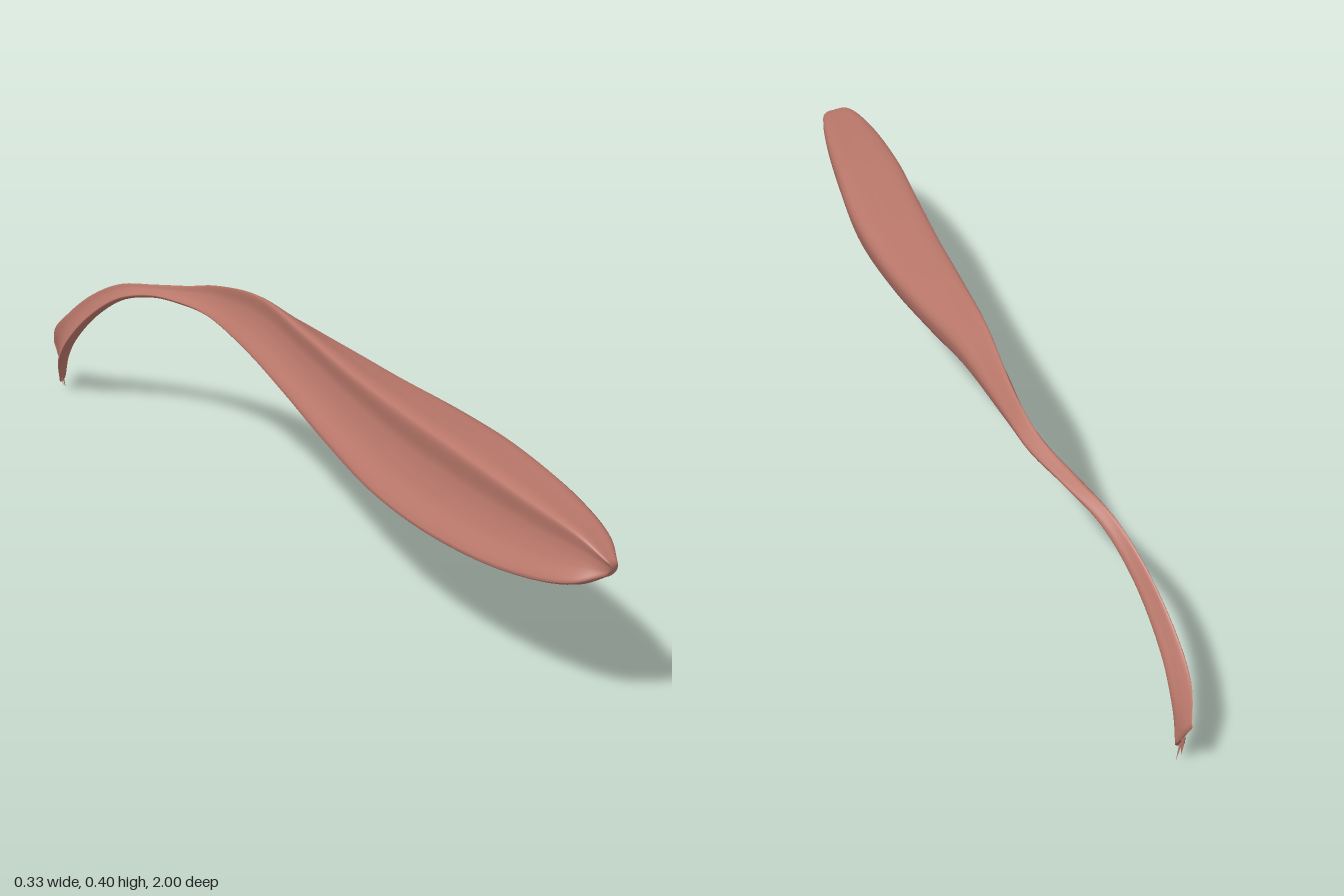
import * as THREE from 'three';

// Stations from the front tip to the tail end.
// Each has a top ridge, an outer edge and a lower lip, all [x, y, z].
const STATIONS = [
  [[0.105, 0.288, 1.0], [0.122, 0.285, 0.995], [0.105, 0.265, 0.99]],
  [[0.085, 0.315, 0.94], [0.14, 0.305, 0.94], [0.065, 0.245, 0.95]],
  [[0.06, 0.335, 0.8], [0.155, 0.325, 0.8], [0.025, 0.222, 0.82]],
  [[0.042, 0.35, 0.6], [0.162, 0.335, 0.6], [-0.008, 0.21, 0.6]],
  [[0.035, 0.356, 0.4], [0.16, 0.333, 0.4], [-0.018, 0.215, 0.4]],
  [[0.03, 0.366, 0.2], [0.14, 0.335, 0.2], [-0.016, 0.24, 0.2]],
  [[0.025, 0.385, 0], [0.108, 0.345, 0], [-0.014, 0.273, 0]],
  [[0.02, 0.4, -0.2], [0.068, 0.355, -0.2], [-0.014, 0.303, -0.2]],
  [[0.01, 0.37, -0.4], [0.032, 0.34, -0.4], [-0.015, 0.314, -0.4]],
  [[-0.01, 0.345, -0.5], [0.012, 0.328, -0.5], [-0.033, 0.313, -0.5]],
  [[-0.048, 0.325, -0.6], [-0.025, 0.316, -0.6], [-0.062, 0.307, -0.59]],
  [[-0.088, 0.305, -0.7], [-0.066, 0.292, -0.69], [-0.1, 0.281, -0.68]],
  [[-0.122, 0.256, -0.8], [-0.1, 0.238, -0.78], [-0.135, 0.222, -0.77]],
  [[-0.148, 0.185, -0.9], [-0.122, 0.162, -0.875], [-0.16, 0.143, -0.855]],
  [[-0.152, 0.145, -0.955], [-0.127, 0.11, -0.93], [-0.163, 0.085, -0.905]],
  [[-0.142, 0.1, -1.0], [-0.13, 0.06, -0.975], [-0.148, 0.025, -0.945]],
];
const ROWS = 120;
const SIDES = 48;

// Closed section: gently domed top, full outer belly, hollow inner side
function section(a, b, c) {
  const along = (p, q, t, out) => {
    const dx = q.x - p.x, dy = q.y - p.y;
    const v = p.clone().lerp(q, t);
    v.x -= dy * -out * -1;
    v.y += dx * out;
    // (-dy, dx) points outward for a clockwise ring
    return v;
  };
  return new THREE.CatmullRomCurve3([
    a, along(a, b, 0.5, 0.06), b,
    along(b, c, 0.3, 0.26), along(b, c, 0.65, 0.28), along(b, c, 0.9, 0.16),
    c, along(c, a, 0.35, -0.1), along(c, a, 0.7, -0.1),
  ], true, 'centripetal');
}

function bodyGeometry() {
  const rails = [0, 1, 2].map(k =>
    new THREE.CatmullRomCurve3(STATIONS.map(s => new THREE.Vector3(...s[k]))));
  const pos = [], index = [];
  for (let i = 0; i <= ROWS; i++) {
    const t = i / ROWS;
    const [a, b, c] = rails.map(r => r.getPoint(t));
    const ring = section(a, b, c);
    const mid = a.clone().add(b).add(c).divideScalar(3);
    for (let j = 0; j < SIDES; j++) {
      const p = ring.getPoint(j / SIDES);
      // Faint lengthwise fibres
      p.lerp(mid, 0.012 * Math.sin(j * 2.1 + Math.sin(t * 17 + j) * 1.3));
      pos.push(p.x, p.y, p.z);
    }
  }
  for (let i = 0; i < ROWS; i++) {
    for (let j = 0; j < SIDES; j++) {
      const k = (j + 1) % SIDES;
      const p = i * SIDES + j, q = i * SIDES + k;
      index.push(p, q, p + SIDES, q, q + SIDES, p + SIDES);
    }
  }
  // Close both ends
  [0, ROWS].forEach(row => {
    const centre = new THREE.Vector3();
    for (let j = 0; j < SIDES; j++) {
      centre.add(new THREE.Vector3().fromArray(pos, (row * SIDES + j) * 3));
    }
    centre.divideScalar(SIDES);
    const n = pos.length / 3;
    pos.push(centre.x, centre.y, centre.z);
    for (let j = 0; j < SIDES; j++) {
      const p = row * SIDES + j, q = row * SIDES + (j + 1) % SIDES;
      if (row === 0) index.push(n, q, p);
      else index.push(n, p, q);
    }
  });
  const g = new THREE.BufferGeometry();
  g.setAttribute('position', new THREE.Float32BufferAttribute(pos, 3));
  g.setIndex(index);
  g.computeVertexNormals();
  return g;
}

export function createModel() {
  const model = new THREE.Group();
  model.name = 'muscle';
  const flesh = new THREE.MeshStandardMaterial({ color: 0xb9776a });
  flesh.name = 'flesh';

  const body = new THREE.Mesh(bodyGeometry(), flesh);
  body.name = 'muscleBelly';
  model.add(body);

  // Frayed fibres at the tail end: [root], [tip]
  [
    [[-0.143, 0.055, -0.955], [-0.131, 0.004, -0.958]],
    [[-0.147, 0.05, -0.945], [-0.142, 0.018, -0.94]],
    [[-0.138, 0.06, -0.97], [-0.135, 0.026, -0.972]],
  ].forEach(([root, tip]) => {
    const from = new THREE.Vector3(...root), to = new THREE.Vector3(...tip);
    const dir = to.clone().sub(from);
    const fibre = new THREE.Mesh(new THREE.ConeGeometry(0.004, dir.length(), 6), flesh);
    fibre.name = 'tendonFibre';
    fibre.position.copy(from).add(to).multiplyScalar(0.5);
    fibre.quaternion.setFromUnitVectors(new THREE.Vector3(0, 1, 0), dir.normalize());
    model.add(fibre);
  });
  return model;
}
